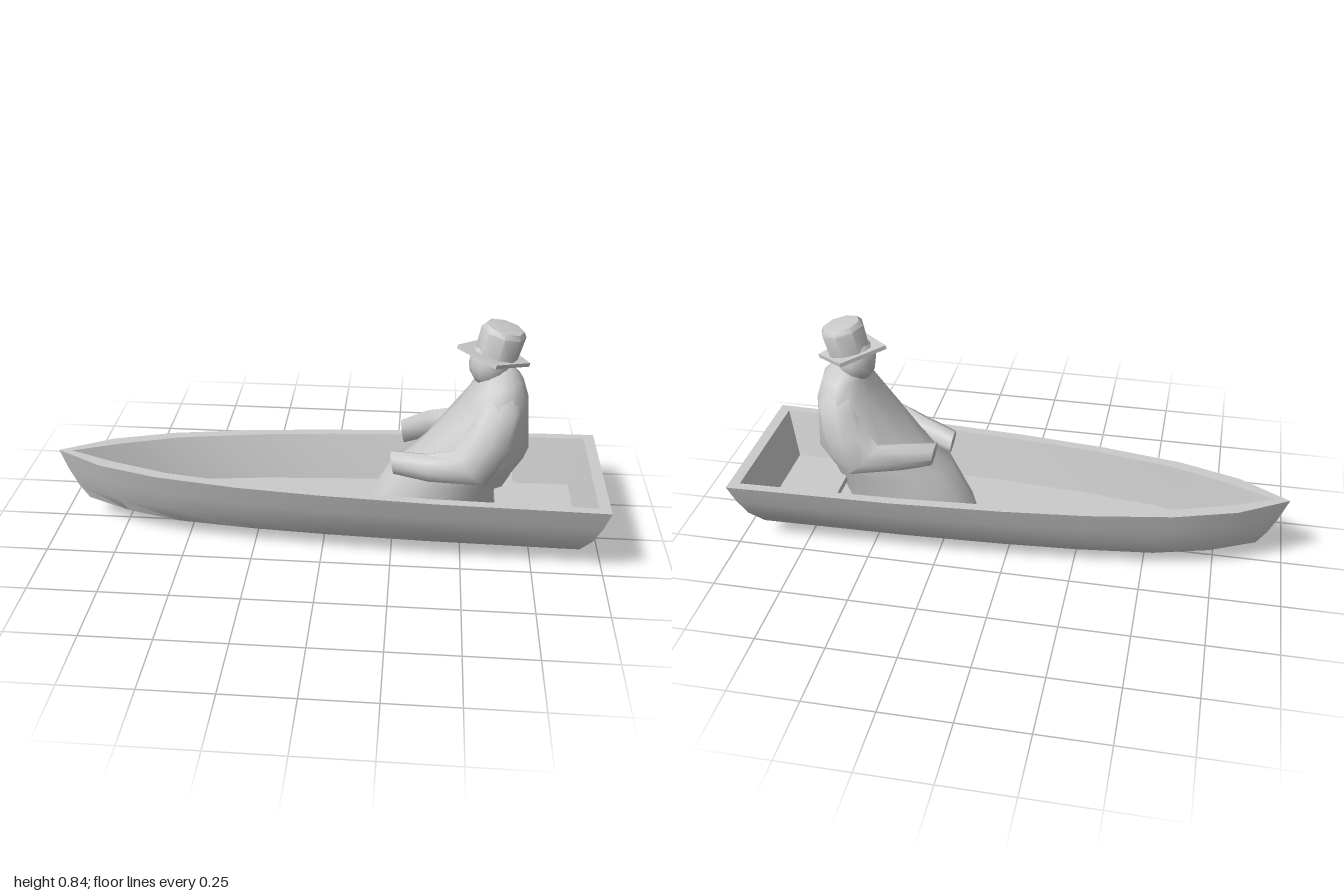
import * as THREE from 'three';
import { toCreasedNormals } from 'three/addons/utils/BufferGeometryUtils.js';

const material = new THREE.MeshStandardMaterial({ color: 0xcccccc, side: THREE.DoubleSide });
const lerp = THREE.MathUtils.lerp;

function add(parent, name, geometry, crease = 0.6) {
  const mesh = new THREE.Mesh(toCreasedNormals(geometry, crease), material);
  mesh.name = name;
  parent.add(mesh);
  return mesh;
}

// Surface through rows of points, each row holding the same number of points
function sheet(rows) {
  const n = rows[0].length, index = [];
  for (let i = 0; i < rows.length - 1; i++)
    for (let j = 0; j < n - 1; j++) {
      const a = i * n + j, b = a + n;
      index.push(a, b, a + 1, a + 1, b, b + 1);
    }
  const geometry = new THREE.BufferGeometry();
  geometry.setAttribute('position', new THREE.Float32BufferAttribute(rows.flat(2), 3));
  geometry.setIndex(index);
  return geometry;
}

// Closed loft through ellipses [x, y, z, radius, zRadius, tilt in degrees]
function loft(rings, sides) {
  const row = ([x, y, z, r, rz, tilt = 0]) => {
    const t = THREE.MathUtils.degToRad(tilt), points = [];
    for (let k = 0; k <= sides; k++) {
      const a = ((k % sides) / sides) * Math.PI * 2, c = Math.cos(a) * r;
      points.push([x + c * Math.cos(t), y + c * Math.sin(t), z + Math.sin(a) * rz]);
    }
    return points;
  };
  const tip = ([x, y, z]) => Array.from({ length: sides + 1 }, () => [x, y, z]);
  return sheet([tip(rings[0]), ...rings.map(row), tip(rings[rings.length - 1])]);
}

const flip = ([x, y, z]) => [x, y, -z];

function createBoat() {
  const boat = new THREE.Group();
  boat.name = 'boat';
  // Stations from bow to stern: [fraction of length, half width of the rim]
  const stations = [[0, 0], [0.09, 0.107], [0.2, 0.175], [0.35, 0.225], [0.5, 0.255], [0.7, 0.28], [1, 0.295]];
  // Levels from rim to keel: [bow x, stern x, height, width factor, rise at bow]
  const levels = [[-1, 1, 0.278, 1, 0], [-0.97, 0.98, 0.2, 0.905, 0], [-0.935, 0.955, 0.13, 0.8, 0],
    [-0.9, 0.92, 0.06, 0.61, 0.02], [-0.9, 0.87, 0, 0, 0.08]];

  // Half section at one station, rim first, on the +z side
  const outer = stations.map(([t, w]) => levels.map(([bow, stern, y, f, rise]) =>
    [lerp(bow, stern, t), y + rise * Math.max(0, 1 - t / 0.18), w * f]));
  const inner = stations.map(([t, w]) => [
    [lerp(-0.95, 0.96, t), 0.278, Math.max(0, w - 0.035)],
    [lerp(-0.88, 0.91, t), 0.11, w * 0.68],
  ]);
  const last = stations.length - 1;

  add(boat, 'hull', sheet(outer.map(s => [...s.map(flip), ...s.slice(0, -1).reverse()])));
  add(boat, 'transom', sheet(outer[last].map(p => [flip(p), p]).reverse()));
  add(boat, 'hullLining', sheet(inner.map(s => [...s, ...s.map(flip).reverse()])));
  add(boat, 'transomLining', sheet(inner[last].map(p => [p, flip(p)]).reverse()));

  // Gunwale along both sides and across the stern
  add(boat, 'gunwaleLeft', sheet(outer.map((s, i) => [s[0], inner[i][0]])));
  add(boat, 'gunwaleRight', sheet(outer.map((s, i) => [flip(inner[i][0]), flip(s[0])])));
  const edge = [inner[last][0], outer[last][0]];
  add(boat, 'gunwaleStern', sheet(edge.map(p => [p, flip(p)])));

  add(boat, 'bench', new THREE.BoxGeometry(0.07, 0.025, 0.49)).position.set(0.645, 0.235, 0);
  return boat;
}

function createRower() {
  const rower = new THREE.Group();
  rower.name = 'seatedMan';

  // Long coat, spreading forward down to the floor
  add(rower, 'coat', loft([
    [0.38, 0.11, 0, 0.24, 0.15],
    [0.455, 0.28, 0, 0.225, 0.165],
    [0.535, 0.37, 0, 0.195, 0.18],
    [0.605, 0.57, 0, 0.11, 0.155],
    [0.612, 0.64, 0, 0.08, 0.11],
    [0.6, 0.682, 0, 0.052, 0.055],
  ], 12), 1.1);

  // Sleeves from cuff to shoulder; the right one is held higher
  for (const [name, side, lift] of [['leftSleeve', 1, 0], ['rightSleeve', -1, 0.045]]) {
    add(rower, name, loft([
      [0.245 + lift * 0.7, 0.328 + lift, side * 0.08, 0.043, 0.045, -80],
      [0.37, 0.338 + lift, side * 0.13, 0.053, 0.048, -82],
      [0.52, 0.36 + lift * 0.3, side * 0.162, 0.088, 0.05, -48],
      [0.58, 0.46, side * 0.152, 0.085, 0.05, -15],
      [0.61, 0.56, side * 0.115, 0.075, 0.05, 0],
      [0.61, 0.63, side * 0.07, 0.05, 0.04, 0],
    ], 8), 1.1);
  }

  const head = add(rower, 'head', new THREE.SphereGeometry(1, 12, 8), 1.2);
  head.scale.set(0.071, 0.085, 0.077);
  head.position.set(0.57, 0.693, 0);

  // Tilted hat: diamond brim with raised sides, and a tall crown
  const hat = new THREE.Group();
  hat.name = 'hat';
  hat.position.set(0.583, 0.72, 0);
  hat.rotation.z = -0.235;
  const brim = new THREE.CylinderGeometry(0.13, 0.13, 0.014, 4);
  const p = brim.attributes.position;
  for (let i = 0; i < p.count; i++) p.setY(i, p.getY(i) + 0.1 * Math.abs(p.getZ(i)));
  add(hat, 'hatBrim', brim, 0.4);
  const profile = [[0.076, 0], [0.08, 0.095], [0.068, 0.112], [0, 0.12]].map(q => new THREE.Vector2(...q));
  add(hat, 'hatCrown', new THREE.LatheGeometry(profile, 8), 0.85).position.x = 0.008;
  rower.add(hat);
  return rower;
}

export function createModel() {
  const model = new THREE.Group();
  model.name = 'rowingBoatWithMan';
  model.add(createBoat(), createRower());
  return model;
}
